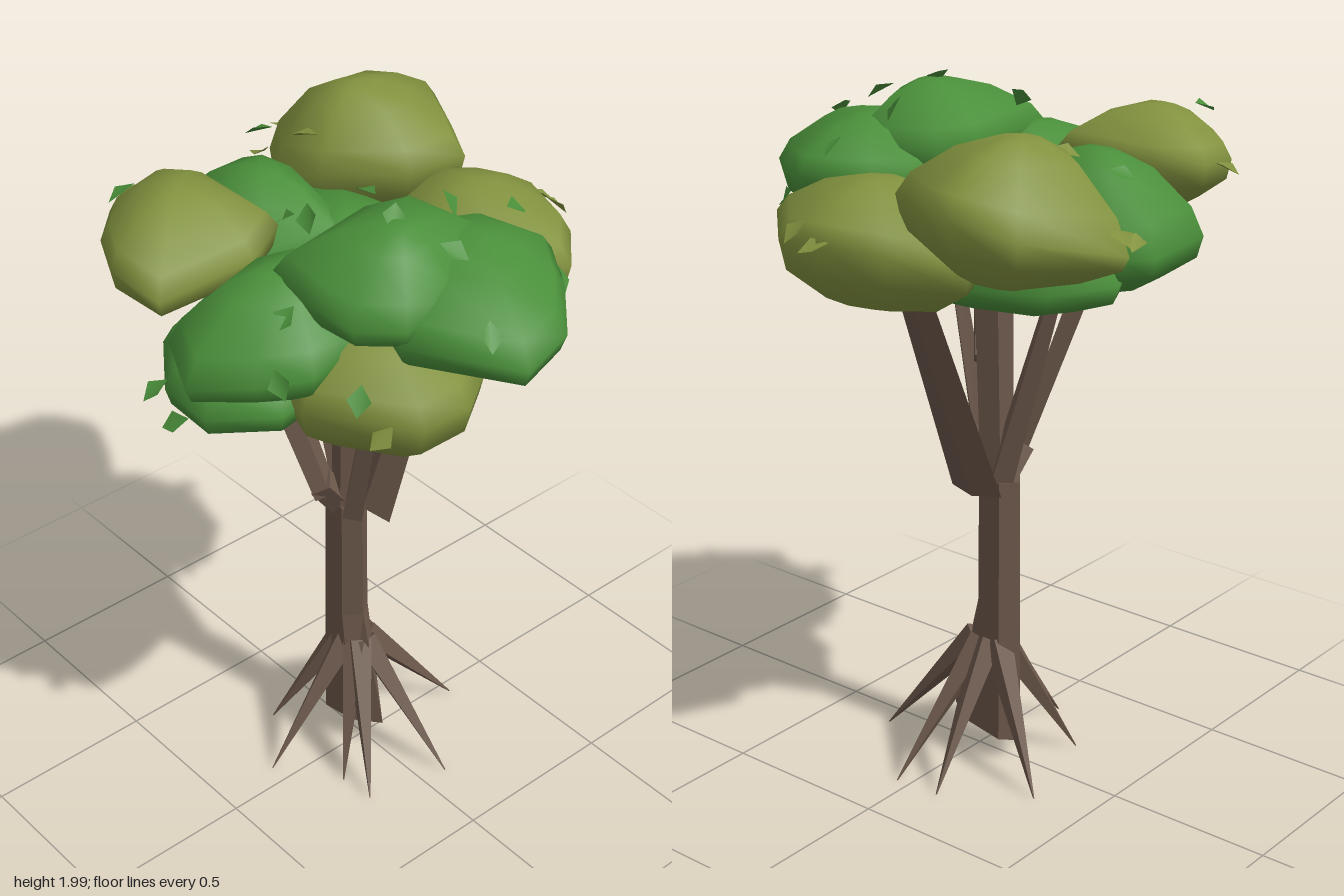
import * as THREE from 'three';

export function createModel() {
  const tree = new THREE.Group();
  tree.name = 'tree';

  const bark = new THREE.MeshStandardMaterial({ color: 0x6b574a, flatShading: true });
  bark.name = 'bark brown';
  const green = new THREE.MeshStandardMaterial({ color: 0x4a8f3a, side: THREE.DoubleSide });
  green.name = 'leaf green';
  const olive = new THREE.MeshStandardMaterial({ color: 0x82923f, side: THREE.DoubleSide });
  olive.name = 'leaf olive';

  function add(name, geometry, material) {
    const mesh = new THREE.Mesh(geometry, material);
    mesh.name = name;
    tree.add(mesh);
    return mesh;
  }

  // Tapered, faceted piece of wood between two points; thin and deep widen its section
  function limb(name, from, to, r0, r1, sides = 4, thin = 1, deep = 1) {
    const a = new THREE.Vector3(...from);
    const dir = new THREE.Vector3(...to).sub(a);
    const geo = new THREE.CylinderGeometry(r1, r0, dir.length(), sides);
    geo.translate(0, dir.length() / 2, 0).scale(thin, 1, deep);
    const mesh = add(name, geo, bark);
    mesh.position.copy(a);
    mesh.quaternion.setFromUnitVectors(new THREE.Vector3(0, 1, 0), dir.normalize());
  }

  // Trunk: hexagonal, deeper than wide, its foot drawn out to the front
  const trunkGeo = new THREE.CylinderGeometry(0.055, 0.06, 0.8, 6, 2);
  const tp = trunkGeo.attributes.position;
  for (let i = 0; i < tp.count; i++) {
    const z = tp.getZ(i) * 1.32;
    const foot = tp.getY(i) < -0.3;
    tp.setZ(i, foot && z > 0 ? z * 2.1 : z);
    if (foot) tp.setY(i, tp.getY(i) + z * 0.3);
  }
  add('trunk', trunkGeo, bark).position.set(0, 0.49, -0.073);

  // Roots
  const rootTips = [
    [0.08, 0.29], [0.33, 0.04], [0.32, -0.1], [0.16, -0.33],
    [-0.16, -0.24], [-0.31, -0.06], [-0.17, 0.23], [-0.18, 0.12],
  ];
  for (const [x, z] of rootTips) {
    const a = Math.atan2(z + 0.05, x);
    limb('root', [0.01 + Math.cos(a) * 0.025, 0.38, -0.05 + Math.sin(a) * 0.04], [x, 0.01, z], 0.045, 0.002);
  }

  // Branches
  limb('mainBranch', [0, 0.84, -0.06], [0.01, 1.56, -0.05], 0.05, 0.06, 5);
  limb('rightBranch', [0.05, 0.85, -0.03], [0.3, 1.54, 0], 0.045, 0.03, 4, 0.55, 2);
  limb('leftBranch', [-0.07, 0.93, -0.08], [-0.19, 1.55, -0.26], 0.04, 0.055, 4, 1, 0.6);
  limb('leftBranchCollar', [0, 0.86, -0.07], [-0.08, 0.97, -0.09], 0.045, 0.045);
  limb('backBranch', [0.015, 0.86, -0.08], [0, 1.56, -0.29], 0.045, 0.022);
  limb('frontBranch', [-0.01, 0.86, -0.03], [-0.04, 1.52, 0.13], 0.04, 0.022);
  limb('twig', [0.02, 1.24, -0.03], [-0.13, 1.48, 0.1], 0.035, 0.025);

  // Leaf clump: rings between a base point, an eight-cornered rim [x, y, z] and a top point.
  // Each ring is [share of the way in, share of the way to the base (-) or the top (+)].
  const rings = [[0.75, -0.97], [0.42, -0.82], [0.06, -0.4], [0, 0], [0.12, 0.34], [0.48, 0.78], [0.78, 0.95]];
  function clump(name, material, base, top, rim) {
    const n = rim.length;
    const pos = [...base];
    for (const [inward, rise] of rings) {
      const goal = rise < 0 ? base : top;
      for (const [x, y, z] of rim) {
        pos.push(x + (goal[0] - x) * inward, y + (goal[1] - y) * Math.abs(rise), z + (goal[2] - z) * inward);
      }
    }
    pos.push(...top);
    const last = pos.length / 3 - 1;
    const index = [];
    for (let j = 0; j < n; j++) {
      const k = (j + 1) % n;
      index.push(0, 1 + k, 1 + j, last, last - n + j, last - n + k);
      for (let r = 0; r < rings.length - 1; r++) {
        const a = 1 + r * n;
        index.push(a + j, a + k, a + n + j, a + k, a + n + k, a + n + j);
      }
    }
    const geo = new THREE.BufferGeometry();
    geo.setAttribute('position', new THREE.Float32BufferAttribute(pos, 3));
    geo.setIndex(index);
    geo.computeVertexNormals();
    add(name, geo, material);
  }

  // Rims run from the back, by -x, to the front and round by +x
  clump('backLeftClump', olive, [-0.38, 1.66, -0.32], [-0.35, 1.94, -0.33], [
    [-0.26, 1.82, -0.56], [-0.43, 1.8, -0.53], [-0.54, 1.8, -0.42], [-0.61, 1.8, -0.28],
    [-0.59, 1.78, -0.1], [-0.3, 1.8, -0.08], [-0.17, 1.83, -0.14], [-0.17, 1.83, -0.45]]);
  clump('backRightClump', olive, [0.36, 1.61, -0.4], [0.31, 1.99, -0.39], [
    [0.54, 1.79, -0.56], [0.22, 1.7, -0.66], [0.09, 1.74, -0.48], [0.11, 1.8, -0.3],
    [0.28, 1.82, -0.12], [0.46, 1.82, -0.1], [0.55, 1.82, -0.25], [0.62, 1.84, -0.4]]);
  clump('rightClump', olive, [0.33, 1.46, 0.04], [0.38, 1.83, 0.02], [
    [0.4, 1.64, -0.3], [0.2, 1.62, -0.2], [0.1, 1.62, 0.05], [0.24, 1.65, 0.28],
    [0.43, 1.69, 0.35], [0.58, 1.67, 0.2], [0.62, 1.7, 0.03], [0.55, 1.68, -0.14]]);
  clump('frontLowClump', olive, [-0.16, 1.37, 0.24], [-0.18, 1.73, 0.24], [
    [-0.14, 1.53, -0.02], [-0.36, 1.53, 0.08], [-0.43, 1.56, 0.26], [-0.26, 1.57, 0.53],
    [-0.1, 1.57, 0.53], [0.06, 1.57, 0.42], [0.11, 1.56, 0.2], [0.05, 1.54, 0.05]]);
  clump('frontTopClump', green, [-0.06, 1.67, 0.22], [-0.08, 1.98, 0.24], [
    [0, 1.85, -0.01], [-0.34, 1.84, 0.04], [-0.35, 1.82, 0.2], [-0.32, 1.79, 0.33],
    [-0.22, 1.79, 0.42], [-0.05, 1.8, 0.42], [0.2, 1.83, 0.28], [0.14, 1.85, 0.03]]);
  clump('frontClump', green, [0.08, 1.6, 0.32], [0.08, 1.91, 0.3], [
    [0.1, 1.76, 0.03], [-0.13, 1.73, 0.12], [-0.23, 1.74, 0.4], [-0.05, 1.73, 0.68],
    [0.14, 1.73, 0.62], [0.27, 1.75, 0.48], [0.36, 1.77, 0.34], [0.3, 1.78, 0.14]]);
  clump('leftClump', green, [-0.36, 1.52, 0.06], [-0.3, 1.85, 0.04], [
    [-0.3, 1.7, -0.16], [-0.57, 1.66, -0.1], [-0.64, 1.62, 0.06], [-0.52, 1.64, 0.19],
    [-0.4, 1.66, 0.28], [-0.2, 1.7, 0.26], [-0.08, 1.72, 0.1], [-0.12, 1.72, -0.1]]);
  clump('leftLowClump', green, [-0.32, 1.39, -0.08], [-0.34, 1.68, -0.06], [
    [-0.26, 1.53, -0.35], [-0.46, 1.52, -0.28], [-0.59, 1.52, -0.1], [-0.6, 1.52, 0.08],
    [-0.44, 1.52, 0.2], [-0.22, 1.52, 0.16], [-0.08, 1.53, 0], [-0.1, 1.54, -0.24]]);
  clump('backClump', green, [-0.08, 1.5, -0.36], [-0.06, 1.88, -0.35], [
    [0.03, 1.64, -0.61], [-0.2, 1.65, -0.6], [-0.28, 1.68, -0.4], [-0.22, 1.7, -0.12],
    [0, 1.72, -0.08], [0.08, 1.7, -0.15], [0.14, 1.68, -0.35], [0.12, 1.65, -0.56]]);
  clump('middleClump', green, [0.06, 1.45, -0.18], [0.08, 1.79, -0.15], [
    [0.12, 1.58, -0.56], [-0.1, 1.58, -0.45], [-0.22, 1.58, -0.2], [-0.15, 1.58, 0.05],
    [0.08, 1.56, 0.14], [0.28, 1.54, 0.08], [0.35, 1.55, -0.15], [0.28, 1.57, -0.45]]);

  // Loose leaves: small folded diamonds scattered over the crown
  const leafGeo = new THREE.PlaneGeometry(0.055, 0.055);
  leafGeo.rotateZ(Math.PI / 4).scale(0.8, 1.1, 1);
  const lp = leafGeo.attributes.position;
  for (let i = 0; i < lp.count; i++) lp.setZ(i, Math.abs(lp.getX(i)) * 0.4);
  leafGeo.computeVertexNormals();

  // Each leaf: position, colour, and how far it lies back (1 = flat on top)
  const leaves = [
    [0.26, 1.76, -0.66, olive, 0.8], [0.16, 1.72, -0.63, olive, 0.7], [-0.34, 1.8, -0.57, olive, 0.8],
    [-0.47, 1.92, -0.41, green, 0.7], [0.11, 1.9, -0.37, olive, 0.8], [-0.62, 1.53, -0.1, green, 0.6],
    [-0.62, 1.47, -0.02, green, 0.5], [-0.4, 1.78, 0.16, green, 0.5], [-0.2, 1.93, 0.02, green, 0.4],
    [0.15, 1.8, -0.16, green, 0.8], [-0.12, 1.81, -0.18, green, 0.6], [0.63, 1.69, 0.03, olive, 0.7],
    [0.6, 1.71, 0.12, olive, 0.5], [0.32, 1.86, 0.24, green, 0.6], [-0.03, 1.93, 0.38, green, 0.6],
    [-0.12, 1.83, 0.61, green, 0.5], [0.35, 1.7, 0.39, green, 0.3], [-0.36, 1.64, 0.4, green, 0.4],
    [0.08, 1.86, -0.53, green, 0.7], [-0.48, 1.66, 0.24, green, 0.3], [-0.09, 1.98, 0.22, green, 0.6],
    [-0.33, 1.54, 0.45, olive, 0.2], [0.12, 1.93, 0.2, green, 0.3],
  ];
  leaves.forEach(([x, y, z, material, back], i) => {
    const leaf = add('leaf', leafGeo, material);
    leaf.position.set(x, y, z);
    leaf.rotation.set(-back * Math.PI / 2, Math.atan2(x, z), Math.sin(i * 5) * 0.8, 'YXZ');
  });

  return tree;
}
